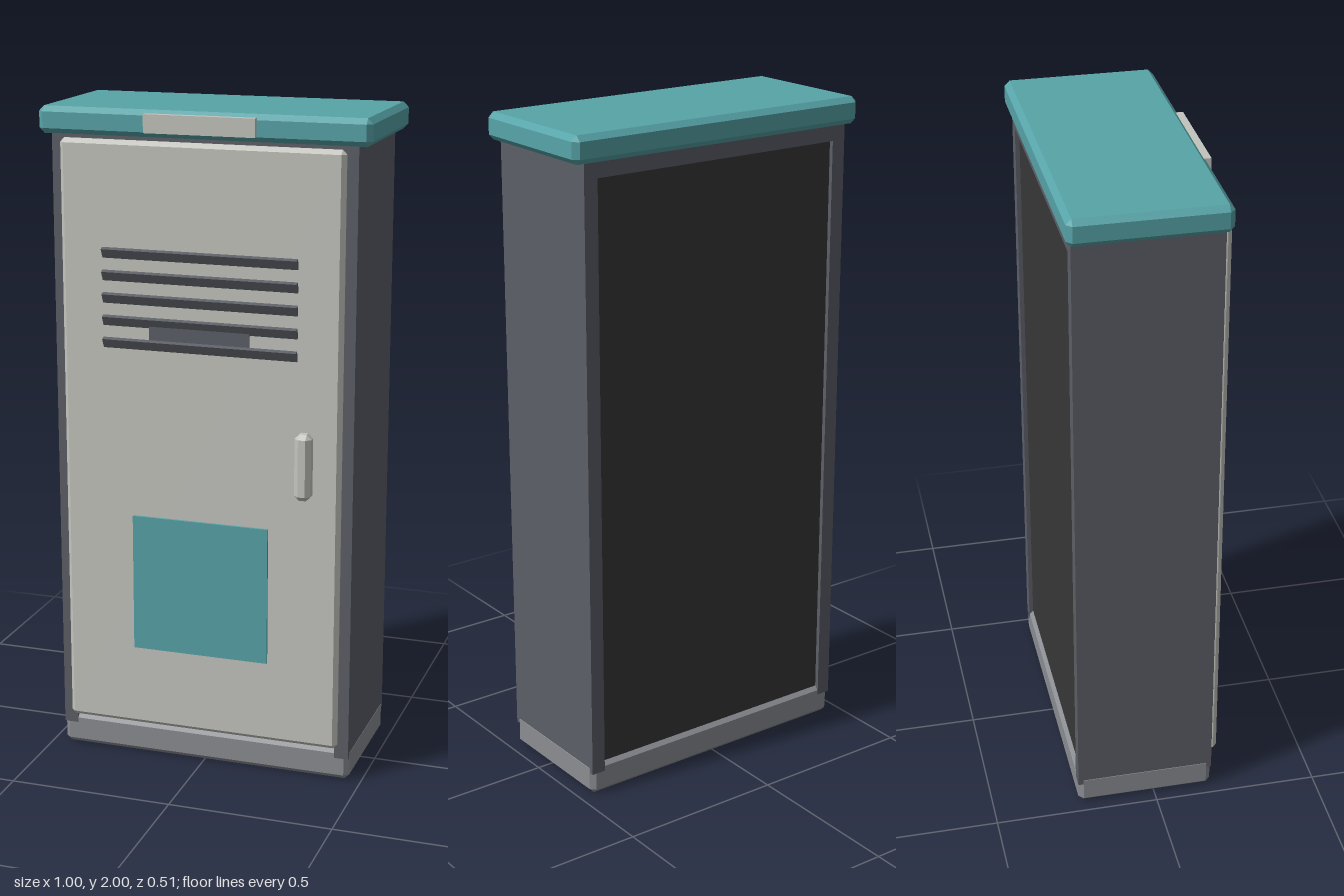
import * as THREE from 'three';
import { ConvexGeometry } from 'three/addons/geometries/ConvexGeometry.js';

function makeMaterial(name, color) {
  const m = new THREE.MeshStandardMaterial({ color });
  m.name = name;
  return m;
}

// Box with every edge and corner cut by c, given as min/max corners
function chamferBox([x0, y0, z0], [x1, y1, z1], c) {
  const h = [(x1 - x0) / 2, (y1 - y0) / 2, (z1 - z0) / 2];
  const points = [];
  for (const sx of [-1, 1]) for (const sy of [-1, 1]) for (const sz of [-1, 1]) {
    for (let axis = 0; axis < 3; axis++) {
      const p = h.map((v, i) => (i === axis ? v : v - c));
      points.push(new THREE.Vector3(sx * p[0], sy * p[1], sz * p[2]));
    }
  }
  return new ConvexGeometry(points).translate((x0 + x1) / 2, (y0 + y1) / 2, (z0 + z1) / 2);
}

function box([x0, y0, z0], [x1, y1, z1]) {
  return new THREE.BoxGeometry(x1 - x0, y1 - y0, z1 - z0)
    .translate((x0 + x1) / 2, (y0 + y1) / 2, (z0 + z1) / 2);
}

export function createModel() {
  const teal = makeMaterial('teal', 0x57a4a8);
  const lightGrey = makeMaterial('light grey', 0xc4c4be);
  const darkGrey = makeMaterial('dark grey', 0x5c5f67);
  const midGrey = makeMaterial('mid grey', 0x8a8d92);
  const charcoal = makeMaterial('charcoal', 0x373737);

  const group = new THREE.Group();
  group.name = 'cabinet';
  const add = (name, geometry, material, parent = group) => {
    const mesh = new THREE.Mesh(geometry, material);
    mesh.name = name;
    parent.add(mesh);
    return mesh;
  };

  // Plinth and lid
  add('base', chamferBox([-0.462, 0, -0.238], [0.462, 0.1, 0.18], 0.015), midGrey);
  add('lid', chamferBox([-0.5, 1.92, -0.256], [0.5, 2, 0.196], 0.016), teal);
  add('lidPlate', box([-0.167, 1.936, 0.19], [0.167, 1.99, 0.212]), lightGrey);

  // Body: side walls and top rail in one U-shaped shell, open at the bottom
  const w = 0.461, inner = 0.417, low = 0.07, high = 1.925, rail = 1.875;
  const outline = new THREE.Shape([
    [-w, low], [-inner, low], [-inner, rail], [inner, rail],
    [inner, low], [w, low], [w, high], [-w, high],
  ].map(([x, y]) => new THREE.Vector2(x, y)));
  const shell = new THREE.ExtrudeGeometry(outline, { depth: 0.42, bevelEnabled: false });
  add('body', shell.translate(0, 0, -0.239), darkGrey);

  // Inner core, seen as the recessed back panel
  add('backPanel', box([-inner, 0.09, -0.226], [inner, rail, 0.165]), charcoal);

  // Door with its fittings
  const door = new THREE.Group();
  door.name = 'door';
  group.add(door);
  add('doorPanel', chamferBox([-0.43, 0.107, 0.178], [0.43, 1.912, 0.207], 0.013), lightGrey, door);
  add('handle', chamferBox([0.3, 0.895, 0.206], [0.35, 1.095, 0.254], 0.014), lightGrey, door);
  add('doorSign', box([-0.212, 0.362, 0.206], [0.212, 0.786, 0.2145]), teal, door);
  add('nameplate', box([-0.153, 1.325, 0.206], [0.153, 1.383, 0.2145]), darkGrey, door);

  // Tilted vent slats
  for (let i = 0; i < 5; i++) {
    const slat = add(`ventSlat${i + 1}`, new THREE.BoxGeometry(0.594, 0.03, 0.012), darkGrey, door);
    slat.position.set(0, 1.585 - i * 0.067, 0.213);
    slat.rotation.x = 0.45;
  }

  return group;
}
